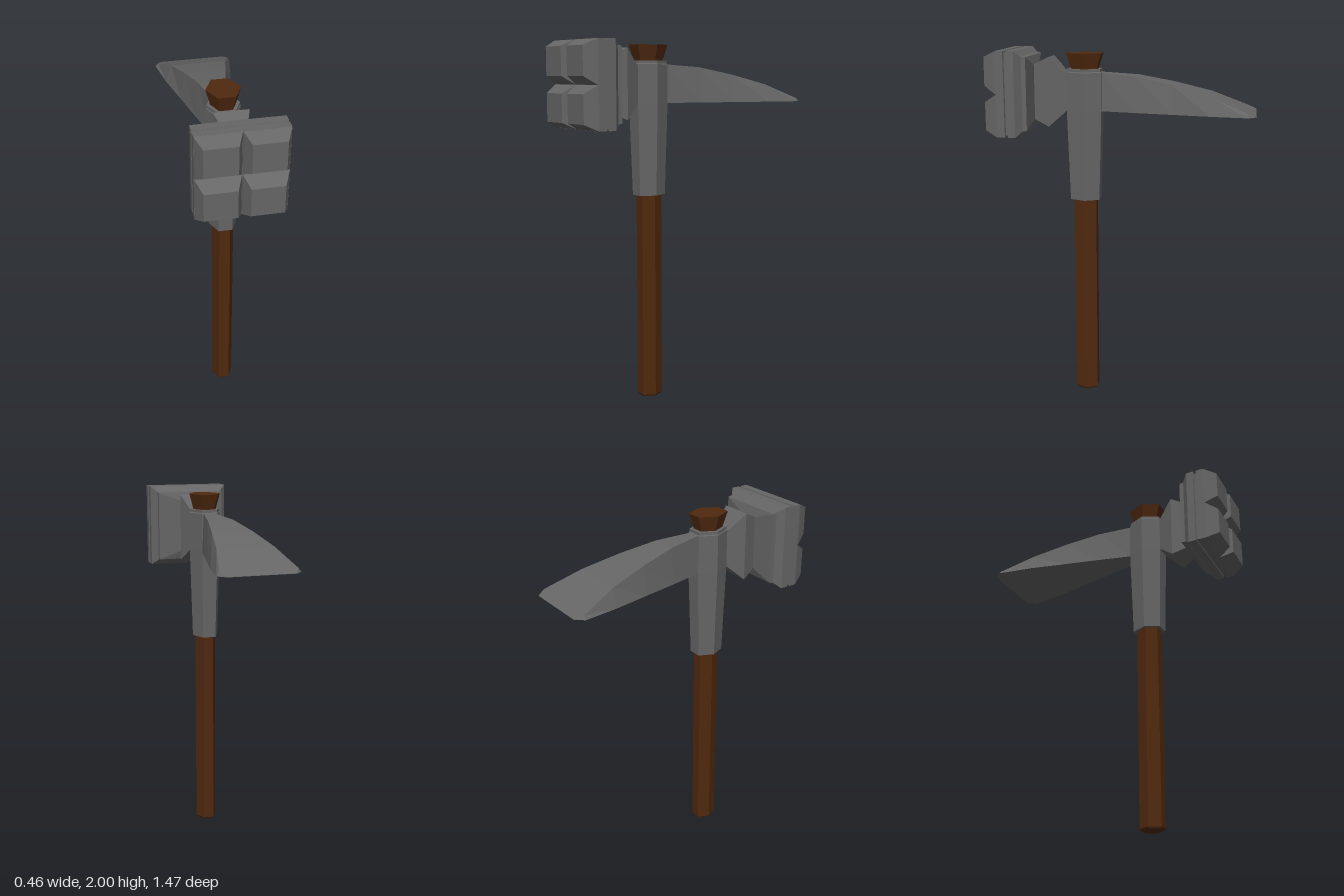
import * as THREE from 'three';

const metal = new THREE.MeshStandardMaterial({ color: 0x666666, flatShading: true });
const wood = new THREE.MeshStandardMaterial({ color: 0x50290f, flatShading: true });

// Closed, faceted solid through rings of points (counter-clockwise seen from the end of the loft)
function loft(name, rings, material) {
  const pos = [];
  const tri = (a, b, c) => pos.push(...a, ...b, ...c);
  const n = rings[0].length;
  for (let r = 0; r < rings.length - 1; r++) {
    const a = rings[r], b = rings[r + 1];
    for (let i = 0; i < n; i++) {
      const j = (i + 1) % n;
      tri(a[i], a[j], b[j]);
      tri(a[i], b[j], b[i]);
    }
  }
  const first = rings[0], last = rings[rings.length - 1];
  for (let i = 1; i < n - 1; i++) {
    tri(first[0], first[i + 1], first[i]);
    tri(last[0], last[i], last[i + 1]);
  }
  const g = new THREE.BufferGeometry();
  g.setAttribute('position', new THREE.Float32BufferAttribute(pos, 3));
  g.computeVertexNormals();
  const mesh = new THREE.Mesh(g, material);
  mesh.name = name;
  return mesh;
}

const SHAFT_Z = 0.213; // handle axis
const HEAD_Y = 1.768;  // hammer head centre height

// Horizontal hexagon with corners on the x axis
const hex = ([y, rx, rz]) =>
  [[1, 0], [0.5, -1], [-0.5, -1], [-1, 0], [-0.5, 1], [0.5, 1]]
    .map(([x, z]) => [x * rx, y, SHAFT_Z + z * rz]);

// Upright rectangle facing +z
const rect = (z, x0, x1, y0, y1) => [[x0, y0, z], [x1, y0, z], [x1, y1, z], [x0, y1, z]];
const square = ([z, hx, hy]) => rect(z, -hx, hx, HEAD_Y - hy, HEAD_Y + hy);

export function createModel() {
  const model = new THREE.Group();
  model.name = 'warHammer';

  // Wooden shaft and the flared plug on top
  model.add(loft('handle', [
    [0, 0.054, 0.056], [0.01, 0.06, 0.063], [1.18, 0.06, 0.063],
  ].map(hex), wood));
  model.add(loft('handleTop', [[1.87, 0.066, 0.07], [1.9, 0.068, 0.073], [1.98, 0.09, 0.097]].map(hex), wood));

  // Metal socket around the shaft
  model.add(loft('socket', [
    [1.16, 0.075, 0.082], [1.665, 0.09, 0.097], [1.875, 0.09, 0.097],
    [1.88, 0.086, 0.092], [1.895, 0.086, 0.092],
  ].map(hex), metal));

  // Flaring adze blade: z, top height, half width on top, half width at the bottom
  const base = 1.665;
  model.add(loft('blade', [
    [0.14, 1.875, 0.032, 0.045],
    [0.115, 1.875, 0.035, 0.045],
    [-0.08, 1.86, 0.073, 0.093],
    [-0.28, 1.82, 0.113, 0.138],
    [-0.49, 1.765, 0.155, 0.187],
    [-0.69, 1.684, 0.205, 0.22],
    [-0.735, 1.667, 0.18, 0.18],
  ].map(([z, top, wt, wb]) => [[-wb, base, z], [-wt, top, z], [wt, top, z], [wb, base, z]]), metal));

  // Faceted neck between socket and hammer head
  model.add(loft('neck', [
    rect(0.29, -0.045, 0.045, 1.665, 1.865),
    rect(0.31, -0.045, 0.045, 1.665, 1.865),
    rect(0.403, -0.09, 0.09, 1.58, 1.96),
    rect(0.495, -0.06, 0.06, 1.62, 1.917),
  ], metal));

  // Hammer head body with a narrow groove around it
  model.add(loft('hammerHead', [
    [0.487, 0.06, 0.148], [0.503, 0.195, 0.198], [0.527, 0.195, 0.202],
    [0.56, 0.23, 0.232], [0.602, 0.23, 0.232], [0.605, 0.218, 0.22],
    [0.615, 0.218, 0.22], [0.618, 0.23, 0.232], [0.66, 0.23, 0.232],
  ].map(square), metal));

  // Four bevelled studs on the striking face
  const studs = new THREE.Group();
  studs.name = 'strikingStuds';
  const span = (s, inner, outer) => (s > 0 ? [inner, outer] : [-outer, -inner]);
  for (const sx of [-1, 1]) for (const sy of [-1, 1]) {
    const ring = (z, xi, xo, yi, yo) =>
      rect(z, ...span(sx, xi, xo), ...span(sy, yi, yo).map((y) => y + HEAD_Y));
    studs.add(loft('stud', [
      ring(0.658, 0, 0.23, 0, 0.232),
      ring(0.67, 0.004, 0.226, 0.004, 0.228),
      ring(0.732, 0.031, 0.197, 0.045, 0.198),
    ], metal));
  }
  model.add(studs);

  return model;
}
